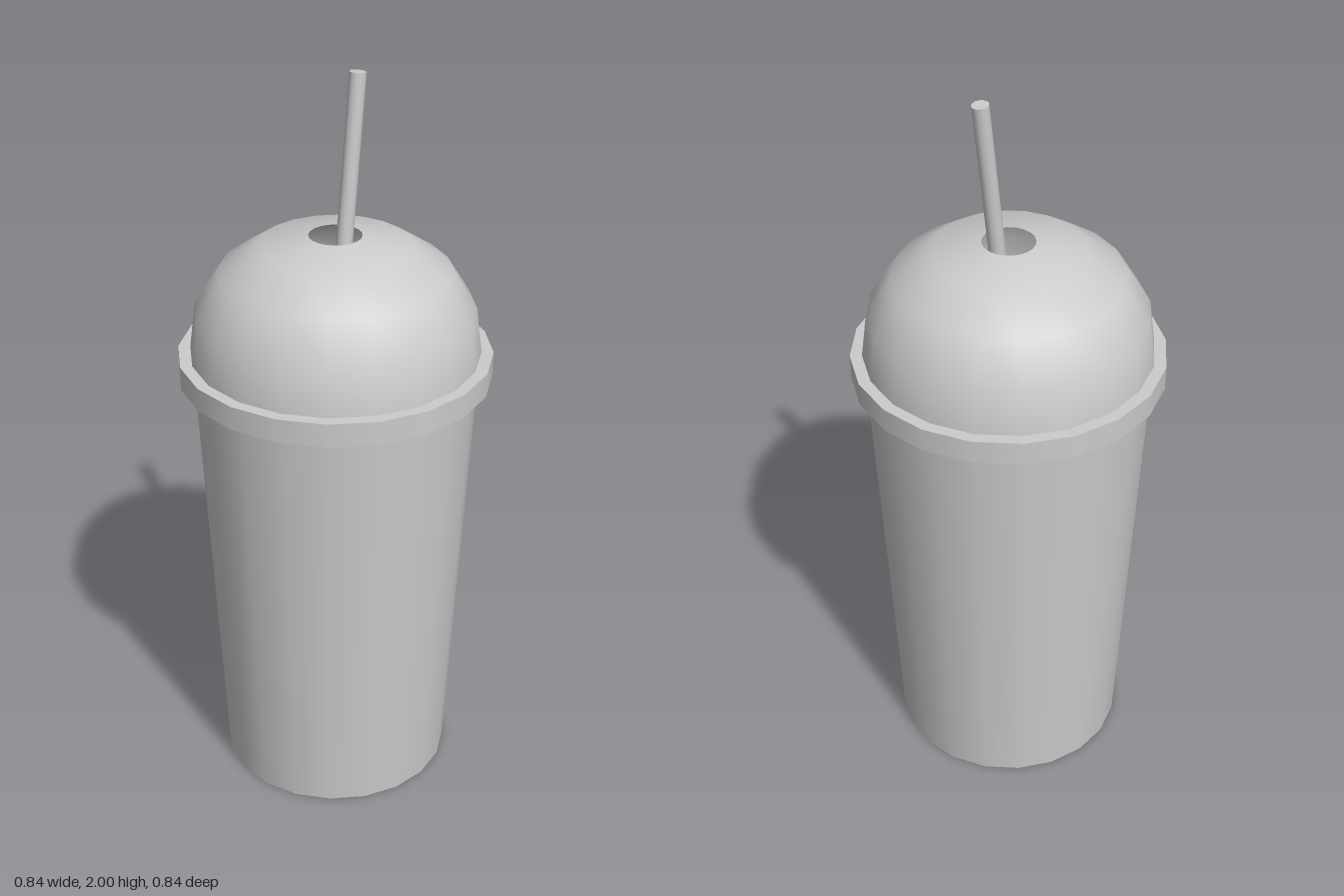
import * as THREE from 'three';

const SIDES = 20;

export function createModel() {
  const group = new THREE.Group();
  const solid = new THREE.MeshStandardMaterial({ color: 0xcccccc });
  const shell = new THREE.MeshStandardMaterial({ color: 0xcccccc, side: THREE.DoubleSide });

  const add = (name, geometry, material, y = 0) => {
    const mesh = new THREE.Mesh(geometry, material);
    mesh.name = name;
    mesh.position.y = y;
    group.add(mesh);
    return mesh;
  };
  const lathe = (points) =>
    new THREE.LatheGeometry(points.map(([r, y]) => new THREE.Vector2(r, y)), SIDES);

  // Tapered cup with a flat base
  add('cup', new THREE.CylinderGeometry(0.382, 0.318, 1.23, SIDES, 1, true), shell, 0.615);
  add('cupBase', new THREE.CircleGeometry(0.318, SIDES).rotateX(Math.PI / 2), shell);

  // Drink surface seen through the hole in the lid
  add('drink', new THREE.CircleGeometry(0.375, SIDES).rotateX(-Math.PI / 2), solid, 1.12);

  // Lid rim: outer band with a flat ring above and below
  const rim = new THREE.Group();
  rim.name = 'lidRim';
  const band = new THREE.CylinderGeometry(0.418, 0.418, 0.065, SIDES, 1, true);
  const ring = new THREE.RingGeometry(0.375, 0.418, SIDES);
  const parts = [
    ['rimBand', band, 1.2325],
    ['rimTop', ring.clone().rotateX(-Math.PI / 2), 1.265],
    ['rimUnderside', ring.clone().rotateX(Math.PI / 2), 1.2],
  ];
  for (const [name, geometry, y] of parts) rim.add(add(name, geometry, shell, y));
  group.add(rim);

  // Domed lid, open at the top for the straw
  add('domeLid', lathe([
    [0.386, 1.22], [0.386, 1.265], [0.37, 1.39], [0.305, 1.495], [0.2, 1.565], [0.07, 1.59],
  ]), shell);

  // Straw leaning towards +x, running down into the drink
  const tilt = 0.12, length = 0.9, radius = 0.022;
  const straw = add('straw', new THREE.CylinderGeometry(radius, radius, length, 12), solid);
  straw.geometry.translate(0, -length / 2, 0);
  straw.rotation.z = -tilt;
  straw.position.set(0.09, 2 - radius * Math.sin(tilt), 0);

  return group;
}
